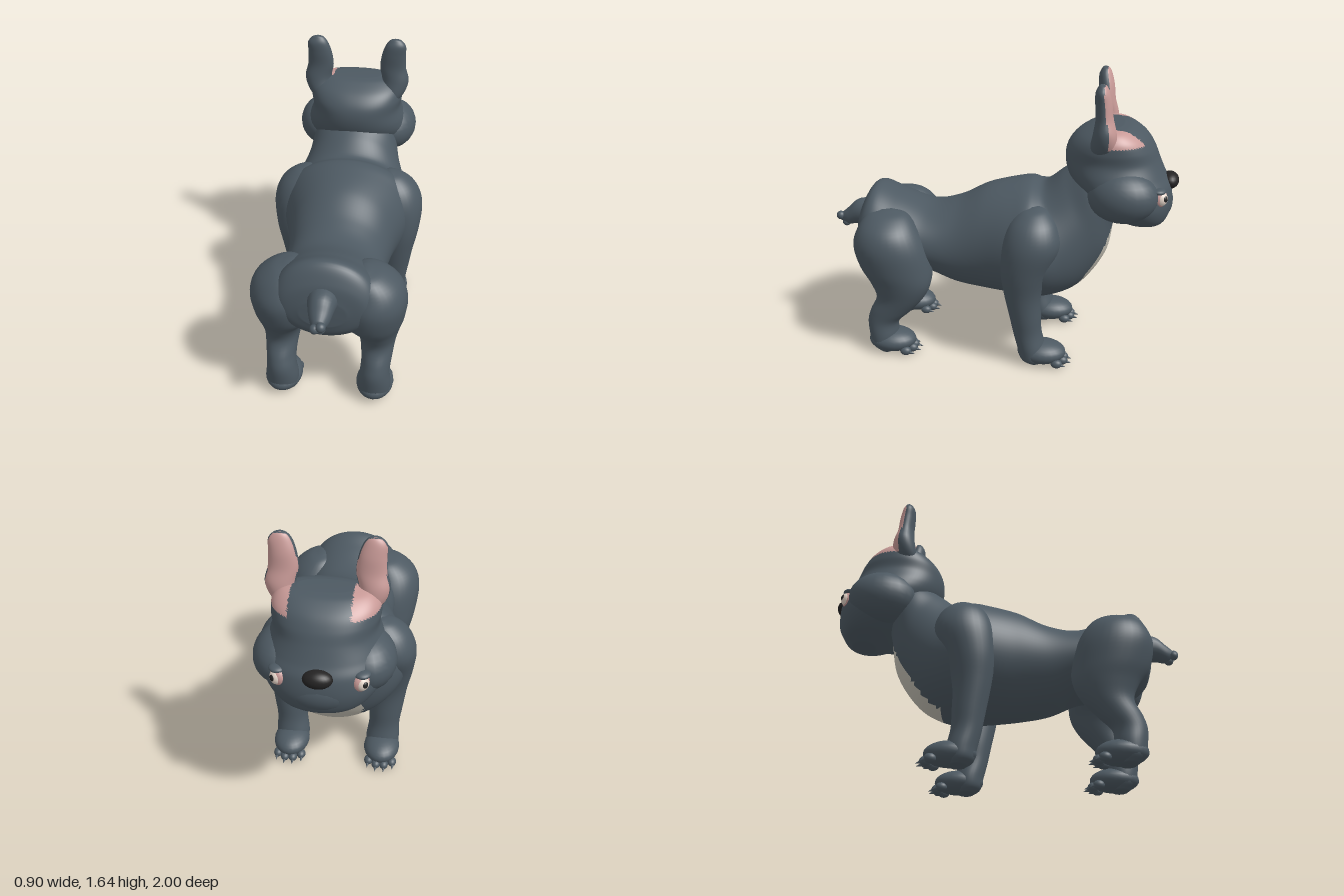
import * as THREE from 'three';

const mat = (name, color) => Object.assign(new THREE.MeshStandardMaterial({ color }), { name });

// Loft of superelliptical rings. Section: [x, zA, yA, zB, yB, halfWidth], where A and B
// are opposite ends of the ring in the side plane. paint(centre, normal) picks a material.
function loft(sections, { seg = 32, steps = 5, power = 2, paint = () => 0 } = {}) {
  const a = new THREE.CatmullRomCurve3(sections.map(s => new THREE.Vector3(s[0], s[2], s[1])), false, 'catmullrom');
  const b = new THREE.CatmullRomCurve3(sections.map(s => new THREE.Vector3(s[5], s[4], s[3])), false, 'catmullrom');
  const rings = (sections.length - 1) * steps;
  const pts = [], mids = [], axes = [];
  const round = v => Math.sign(v) * Math.abs(v) ** (2 / power);
  for (let i = 0; i <= rings; i++) {
    const p = a.getPoint(i / rings), q = b.getPoint(i / rings);
    const mid = new THREE.Vector3(p.x, (p.y + q.y) / 2, (p.z + q.z) / 2);
    const vy = (q.y - p.y) / 2, vz = (q.z - p.z) / 2;
    mids.push(mid);
    axes.push(new THREE.Vector3(0, -vz, vy));
    for (let j = 0; j < seg; j++) {
      const t = j / seg * Math.PI * 2, c = round(Math.cos(t)), s = round(Math.sin(t));
      pts.push(new THREE.Vector3(mid.x + q.x * c, mid.y + vy * s, mid.z + vz * s));
    }
  }
  const start = pts.push(mids[0].clone()) - 1, end = pts.push(mids[rings].clone()) - 1;
  const h = rings >> 1;
  const flip = mids[h + 1].clone().sub(mids[h]).dot(axes[h]) < 0;
  const buckets = [[], []], tri = new THREE.Triangle(), m = new THREE.Vector3(), n = new THREE.Vector3();
  const add = (i, j, k) => {
    const f = flip ? [i, k, j] : [i, j, k];
    tri.set(...f.map(v => pts[v]));
    tri.getMidpoint(m);
    tri.getNormal(n);
    buckets[paint(m, n)].push(...f);
  };
  for (let j = 0; j < seg; j++) {
    const k = (j + 1) % seg;
    for (let i = 0; i < rings; i++) {
      const o = i * seg, u = o + seg;
      add(o + j, o + k, u + k);
      add(o + j, u + k, u + j);
    }
    add(start, k, j);
    add(end, rings * seg + j, rings * seg + k);
  }
  const g = new THREE.BufferGeometry().setFromPoints(pts);
  g.setIndex([...buckets[0], ...buckets[1]]);
  g.addGroup(0, buckets[0].length, 0);
  g.addGroup(buckets[0].length, buckets[1].length, 1);
  g.computeVertexNormals();
  return g;
}

// Horizontal rings: [y, zFront, zBack, x, halfWidth]
const level = (rows, s = 1) => rows.map(([y, f, b, x, w]) => [x * s, f, y, b, y, w]);

export function createModel() {
  const root = new THREE.Group();
  root.name = 'dog';
  const coat = mat('slate coat', 0x4d5962);
  const pink = mat('inner ear pink', 0xc89a97);
  const cream = mat('chest cream', 0xc4c0b4);
  const black = mat('nose black', 0x242323);
  const white = mat('eye white', 0xe6d6ca);

  const add = (name, geo, material, parent = root) => {
    const mesh = new THREE.Mesh(geo, material);
    mesh.name = name;
    parent.add(mesh);
    return mesh;
  };
  const ball = (name, material, pos, r, parent = root) => {
    const mesh = add(name, new THREE.SphereGeometry(1, 24, 16), material, parent);
    mesh.position.set(...pos);
    mesh.scale.set(...r);
    return mesh;
  };

  // Trunk and neck, with the pale chest patch
  add('body', loft([
    [0, 0.825, 0.62, 0.825, 0.78, 0.12],
    [0, 0.80, 0.55, 0.80, 0.88, 0.23],
    [0, 0.73, 0.49, 0.73, 0.97, 0.275],
    [0, 0.60, 0.47, 0.60, 0.925, 0.285],
    [0, 0.42, 0.46, 0.42, 0.865, 0.28],
    [0, 0.25, 0.39, 0.25, 0.90, 0.285],
    [0, 0.08, 0.36, 0.08, 0.985, 0.315],
    [0, -0.10, 0.35, -0.08, 1.025, 0.37],
    [0, -0.28, 0.35, -0.17, 1.035, 0.405],
    [0, -0.47, 0.43, -0.25, 1.02, 0.35],
    [0, -0.61, 0.62, -0.35, 1.095, 0.285],
    [0, -0.65, 0.82, -0.43, 1.15, 0.255],
    [0, -0.68, 0.95, -0.50, 1.20, 0.22],
  ], {
    seg: 72, steps: 8,
    paint: (p, n) => (n.z < 0 && p.z < -0.35 && ((p.y - 0.57) / 0.24) ** 2 + (p.x / 0.18) ** 2 < 1 ? 1 : 0),
  }), [coat, cream]);

  // Head, with pink at the foot of each ear
  add('head', loft(level([
    [0.815, -0.89, -0.76, 0, 0.08],
    [0.86, -0.94, -0.66, 0, 0.21],
    [0.95, -0.965, -0.50, 0, 0.295],
    [1.05, -0.955, -0.42, 0, 0.31],
    [1.12, -0.92, -0.38, 0, 0.295],
    [1.20, -0.885, -0.365, 0, 0.268],
    [1.27, -0.855, -0.38, 0, 0.275],
    [1.33, -0.81, -0.43, 0, 0.265],
    [1.375, -0.74, -0.51, 0, 0.22],
    [1.39, -0.68, -0.56, 0, 0.14],
  ]), {
    seg: 80, steps: 8, power: 2.2,
    paint: p => {
      const x = Math.abs(p.x), inner = p.x > 0 ? 0.17 : 0.14;
      return p.y > 1.305 && x > inner && x < 0.28 && p.z > -0.8 && p.z < -0.58 ? 1 : 0;
    },
  }), [coat, pink]);
  ball('muzzle', coat, [0, 0.95, -0.865], [0.19, 0.115, 0.107]);
  ball('nose', black, [0, 1.067, -0.948], [0.075, 0.047, 0.05]);

  // Foot with four toes and claws, pointing to -z
  const foot = (name, x, z) => {
    const g = new THREE.Group();
    g.name = name;
    g.position.set(x, 0, z);
    root.add(g);
    ball('paw', coat, [0, 0.075, 0], [0.105, 0.068, 0.14], g);
    for (let i = 0; i < 4; i++) {
      const t = i - 1.5, tz = -0.125 + t * t * 0.014;
      ball('toe', coat, [t * 0.046, 0.035, tz], [0.026, 0.026, 0.033], g);
      const claw = add('claw', new THREE.ConeGeometry(0.013, 0.04, 8), coat, g);
      claw.position.set(t * 0.049, 0.026, tz - 0.036);
      claw.rotation.x = -Math.PI / 2 - 0.3;
    }
  };

  for (const s of [1, -1]) {
    const side = s > 0 ? 'left' : 'right';

    ball(side + 'Cheek', coat, [s * 0.208, 1.03, -0.69], [0.155, 0.148, 0.195]).rotation.y = s * -0.12;

    // Ear, pink on its front face
    add(side + 'Ear', loft(level([
      [1.22, -0.62, -0.50, 0.18, 0.04],
      [1.30, -0.645, -0.505, 0.215, 0.072],
      [1.38, -0.645, -0.52, 0.233, 0.079],
      [1.46, -0.625, -0.53, 0.217, 0.077],
      [1.54, -0.615, -0.525, 0.22, 0.07],
      [1.60, -0.60, -0.525, 0.23, 0.06],
      [1.633, -0.585, -0.54, 0.23, 0.036],
      [1.643, -0.57, -0.55, 0.23, 0.012],
    ], s), { steps: 6, paint: (p, n) => (n.z < -0.42 ? 1 : 0) }), [coat, pink]);

    // Eye with pink rim, pupil and upper lid
    const eye = new THREE.Group();
    eye.name = side + 'Eye';
    eye.position.set(s * 0.202, 1.028, -0.89);
    eye.rotation.y = s * -0.7;
    root.add(eye);
    ball('eyeRim', pink, [0, -0.002, 0], [0.046, 0.05, 0.036], eye);
    ball('eyeball', white, [0, -0.002, -0.01], [0.036, 0.04, 0.034], eye);
    ball('pupil', black, [0, 0.002, -0.034], [0.017, 0.02, 0.013], eye);
    ball('eyelid', coat, [s * 0.012, 0.04, 0.003], [0.042, 0.018, 0.04], eye);

    // Front leg with domed shoulder
    add(side + 'FrontLeg', loft(level([
      [0.955, -0.25, -0.20, 0.24, 0.02],
      [0.93, -0.30, -0.14, 0.255, 0.08],
      [0.86, -0.355, -0.08, 0.28, 0.13],
      [0.75, -0.375, -0.045, 0.30, 0.147],
      [0.60, -0.31, -0.04, 0.31, 0.125],
      [0.45, -0.27, -0.06, 0.30, 0.105],
      [0.30, -0.27, -0.09, 0.285, 0.097],
      [0.20, -0.275, -0.11, 0.278, 0.09],
      [0.10, -0.30, -0.135, 0.272, 0.098],
      [0.04, -0.30, -0.15, 0.272, 0.09],
      [0.01, -0.28, -0.19, 0.272, 0.06],
    ], s)), coat);
    foot(side + 'FrontFoot', s * 0.272, -0.275);

    // Hind leg with domed hip, thigh and hock
    add(side + 'HindLeg', loft(level([
      [0.875, 0.59, 0.66, 0.20, 0.02],
      [0.85, 0.51, 0.74, 0.215, 0.09],
      [0.78, 0.45, 0.79, 0.24, 0.15],
      [0.68, 0.40, 0.82, 0.24, 0.183],
      [0.55, 0.37, 0.79, 0.235, 0.177],
      [0.45, 0.375, 0.725, 0.262, 0.127],
      [0.36, 0.42, 0.695, 0.267, 0.10],
      [0.27, 0.50, 0.735, 0.267, 0.085],
      [0.20, 0.57, 0.755, 0.262, 0.082],
      [0.12, 0.575, 0.75, 0.26, 0.092],
      [0.05, 0.58, 0.735, 0.26, 0.088],
      [0.01, 0.60, 0.69, 0.26, 0.06],
    ], s)), coat);
    foot(side + 'HindFoot', s * 0.26, 0.615);
  }

  // Short tail with a knobbly tip
  add('tail', loft([
    [0, 0.76, 0.69, 0.76, 0.86, 0.09],
    [0, 0.86, 0.70, 0.86, 0.85, 0.07],
    [0, 0.92, 0.69, 0.92, 0.80, 0.052],
    [0, 0.96, 0.705, 0.96, 0.765, 0.03],
  ], { seg: 20 }), coat);
  for (const [x, y, z] of [[0.015, 0.745, 0.972], [-0.018, 0.725, 0.965], [0.008, 0.705, 0.94]])
    ball('tailTip', coat, [x, y, z], [0.026, 0.026, 0.026]);

  return root;
}
